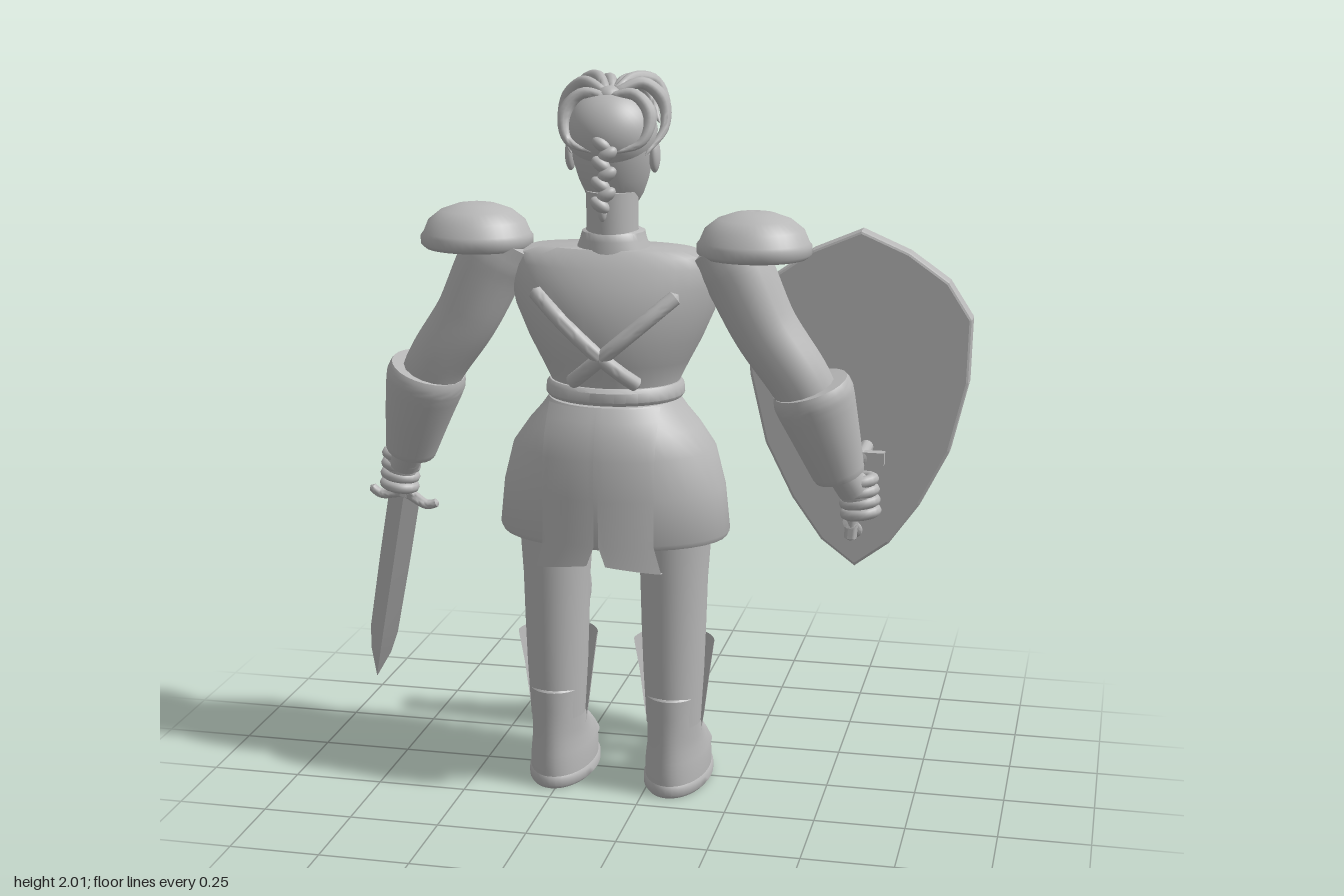
import * as THREE from 'three';
import { mergeVertices, toCreasedNormals } from 'three/addons/utils/BufferGeometryUtils.js';

const V = (x, y, z) => new THREE.Vector3(x, y, z);
const CX = -0.095; // body centre line
const BZ = 0.088;  // body centre depth

export function createModel() {
  const model = new THREE.Group();
  const grey = new THREE.MeshStandardMaterial({ color: 0xb8b8b8, side: THREE.DoubleSide });
  grey.name = 'plain grey';

  const add = (name, geo, parent = model) => {
    const m = new THREE.Mesh(geo, grey);
    m.name = name;
    parent.add(m);
    return m;
  };
  const group = (name, x = 0, y = 0, z = 0) => {
    const g = new THREE.Group();
    g.name = name;
    g.position.set(x, y, z);
    model.add(g);
    return g;
  };
  const ball = (name, p, s, parent) => {
    const m = add(name, new THREE.SphereGeometry(1, 24, 16), parent);
    m.position.set(...p);
    m.scale.set(...s);
    return m;
  };

  // Skin a list of equally long rows of points
  const skin = (rows, crease = 0.7) => {
    const n = rows[0].length, idx = [];
    for (let i = 0; i < rows.length - 1; i++)
      for (let j = 0; j < n - 1; j++) {
        const a = i * n + j, b = a + 1, c = a + n, d = c + 1;
        idx.push(a, b, c, b, d, c);
      }
    const g = new THREE.BufferGeometry().setFromPoints(rows.flat());
    g.setIndex(idx);
    return toCreasedNormals(g, crease);
  };
  // Elliptical rings [y, half width, front z, back z], closed at both ends
  const loft = (rings, { n = 36, start = 0, length = Math.PI * 2, caps = true, crease = 0.7 } = {}) => {
    const rows = rings.map(([y, rx, zf, zb]) => Array.from({ length: n + 1 }, (_, j) => {
      const t = start + length * j / n;
      return V(rx * Math.sin(t), y, (zf + zb) / 2 + (zb - zf) / 2 * Math.cos(t));
    }));
    if (caps) {
      const end = ([y, , zf, zb]) => Array.from({ length: n + 1 }, () => V(0, y, (zf + zb) / 2));
      rows.unshift(end(rings[0]));
      rows.push(end(rings[rings.length - 1]));
    }
    return skin(rows, crease);
  };
  // Tube along points with radius stops [t, r], closed at the ends
  const limb = (pts, stops, segs = 28, sides = 16) => {
    const curve = new THREE.CatmullRomCurve3(pts.map(p => V(...p)));
    const g = new THREE.TubeGeometry(curve, segs, 1, sides);
    const pos = g.attributes.position, p = V(0, 0, 0);
    for (let i = 0; i <= segs; i++) {
      const t = i / segs, c = curve.getPointAt(t);
      const k = Math.max(1, stops.findIndex(s => s[0] >= t - 1e-6));
      const [t0, r0] = stops[k - 1], [t1, r1] = stops[k];
      const r = i === 0 || i === segs ? 0.0001 : THREE.MathUtils.mapLinear(t, t0, t1, r0, r1);
      for (let j = 0; j <= sides; j++) {
        const q = i * (sides + 1) + j;
        p.fromBufferAttribute(pos, q).sub(c).multiplyScalar(r).add(c);
        pos.setXYZ(q, p.x, p.y, p.z);
      }
    }
    g.deleteAttribute('uv');
    g.deleteAttribute('normal');
    return toCreasedNormals(mergeVertices(g, 1e-5), 0.8);
  };

  // Cuirass, belt and collar
  const torso = group('torso', CX);
  const chest = [[1.12, .17, -.06, .21], [1.18, .178, -.075, .22], [1.24, .208, -.093, .238], [1.3, .24, -.105, .25],
    [1.38, .275, -.11, .25], [1.45, .292, -.092, .235], [1.5, .295, -.055, .212], [1.53, .28, -.02, .195], [1.548, .22, .0, .18]];
  add('cuirass', loft(chest), torso);
  add('belt', loft([[1.135, .185, -.085, .235], [1.145, .192, -.092, .242], [1.17, .19, -.09, .24], [1.18, .182, -.08, .23]]), torso);
  add('collar', loft([[1.52, .11, -.01, .19], [1.57, .09, .0, .185], [1.59, .085, .0, .18], [1.595, .075, .01, .175]]), torso);
  add('neck', loft([[1.55, .072, .03, .18], [1.61, .07, .03, .18], [1.7, .07, .03, .18]]), torso);
  const backZ = (x, y) => {
    const k = chest.findIndex(r => r[0] >= y), a = chest[k - 1], b = chest[k], t = (y - a[0]) / (b[0] - a[0]);
    const [rx, zf, zb] = [1, 2, 3].map(i => a[i] + (b[i] - a[i]) * t);
    return (zf + zb) / 2 + (zb - zf) / 2 * Math.sqrt(Math.max(0, 1 - (x / rx) ** 2));
  };
  for (const s of [-1, 1]) {
    const pts = Array.from({ length: 9 }, (_, i) => {
      const x = s * (0.2 - 0.297 * i / 8), y = 1.44 - 0.255 * i / 8;
      return [x, y, backZ(x, y) + 0.001];
    });
    add('backStrap', limb(pts, [[0, .021], [1, .021]]), torso);
    ball('shoulderStud', [s * .17, 1.505, -.03], [.022, .022, .022], torso);
    ball('shoulderStud', [s * .25, 1.5, .0], [.022, .022, .022], torso);
  }

  // Skirt with two hanging panels front and back
  const skirt = group('skirt', CX, 0, BZ);
  const bell = [[.75, .315, .208], [.765, .323, .215], [.89, .31, .217], [1.0, .282, .215], [1.06, .24, .203], [1.1, .205, .188], [1.135, .18, .168]];
  add('skirtBell', loft(bell.map(([y, rx, rz]) => [y, rx, -rz, rz])), skirt);
  for (const s of [-1, 1]) for (const f of [-1, 1]) {
    const rows = [[.69, .325, .218], ...bell.slice(1)].map(([y, rx, rz], k) => Array.from({ length: 11 }, (_, j) => {
      const x = (k === 0 ? .022 : .006) + .148 * j / 10 + (k === 0 ? .004 : 0);
      return V(s * x, y + (k === 0 ? .02 * (1 - j / 10) : 0), f * (.012 + rz * Math.sqrt(1 - (x / (rx + .02)) ** 2)));
    }));
    rows.unshift(rows[0].map(p => V(p.x, p.y, p.z - f * .015)));
    add('skirtPanel', skin(rows), skirt);
  }

  // Legs, knee pads, greaves and boots
  for (const s of [-1, 1]) {
    const leg = group(s > 0 ? 'leftLeg' : 'rightLeg', CX + s * .168);
    add('leg', loft([[.2, .076, .0, .18], [.35, .085, -.005, .183], [.48, .09, -.005, .184], [.62, .094, -.01, .186], [.82, .108, -.02, .19]]), leg);
    ball('kneePad', [0, .55, .0], [.078, .112, .042], leg);
    add('greave', loft([[.16, .075, -.005, .16], [.22, .085, -.012, .18], [.34, .1, -.028, .2], [.42, .112, -.03, .22], [.435, .114, -.03, .22]],
      { start: Math.PI - 1.55, length: 3.1, caps: false }), leg);
    add('boot', loft([[.035, .09, -.155, .192], [.07, .09, -.155, .192], [.1, .086, -.135, .19], [.13, .08, -.1, .188], [.16, .076, -.055, .187],
      [.19, .074, -.015, .186], [.23, .073, .0, .186], [.285, .078, -.005, .188], [.29, .074, .0, .184]]), leg);
    add('sole', loft([[0, .088, -.155, .19], [.008, .095, -.165, .196], [.028, .095, -.165, .196], [.036, .09, -.158, .192]]), leg);
    add('toeFlap', loft([[.085, .082, -.153, .05], [.12, .074, -.118, .06], [.15, .066, -.08, .07], [.185, .05, -.015, .08]]), leg);
  }

  // Arms, pauldrons, gauntlets and hands
  const dome = [[0, .012], [.12, .008], [.142, 0], [.155, .012], [.155, .034], [.148, .042], [.134, .075], [.1, .102], [.055, .118], [.015, .124], [0, .119]];
  for (const s of [-1, 1]) {
    const arm = group(s > 0 ? 'leftArm' : 'rightArm', CX);
    const path = pts => pts.map(([x, y, z]) => [s * x, y, z]);
    add('sleeve', limb(path([[.28, 1.58, .088], [.335, 1.5, .09], [.415, 1.34, .09], [.515, 1.19, .08], [.55, 1.1, .06]]),
      [[0, .09], [.15, .1], [.5, .09], [1, .082]]), arm);
    const pad = add('pauldron', new THREE.LatheGeometry(dome.map(p => new THREE.Vector2(...p)), 40), arm);
    pad.position.set(s * .384, 1.53, .088);
    pad.scale.z = .9;
    add('gauntlet', limb(path([[.535, 1.19, .072], [.575, 1.06, .048], [.617, .915, .015]]),
      [[0, .1], [.06, .108], [.14, .112], [.25, .108], [.9, .075], [.96, .072], [1, .06]], 32, 24), arm);
    add('wrist', limb(path([[.61, .95, .015], [.65, .87, -.025]]), [[0, .045], [1, .045]]), arm);
    ball('palm', [s * .658, .865, -.025], [.045, .058, .036], arm);
    for (let i = 0; i < 4; i++) {
      const finger = add('finger', new THREE.TorusGeometry(.034, .017, 10, 20), arm);
      finger.position.set(s * (.66 + .003 * i), .895 - i * .03, -.037);
      finger.rotation.set(Math.PI / 2, s * .15, 0);
      finger.scale.x = 1.15;
    }
    add('thumb', limb(path([[.63, .91, -.02], [.62, .88, -.06], [.645, .86, -.075]]), [[0, .017], [1, .015]], 12, 10), arm);
  }

  // Sword, hanging from the right hand
  const sword = group('sword', -.75, .777, -.038);
  sword.rotation.set(.04, 0, -.188);
  add('blade', loft([[0, .047, -.009, .009], [-.2, .046, -.008, .008], [-.43, .042, -.007, .007], [-.5, .031, -.005, .005], [-.585, .001, -.001, .001]],
    { n: 4, crease: .05 }), sword);
  add('guard', limb([[-.105, .0, 0], [-.07, -.016, 0], [0, .006, 0], [.07, -.016, 0], [.105, .0, 0]], [[0, .012], [.5, .018], [1, .012]]), sword);
  add('grip', limb([[0, -.01, 0], [0, .14, 0]], [[0, .02], [1, .02]]), sword);
  ball('pommel', [0, .14, 0], [.024, .024, .024], sword);

  // Shield with rim, faceted face, boss and rays
  const shield = group('shield', .546, 1.14, 0);
  const half = [[0, .435], [.133, .378], [.244, .3], [.309, .2], [.305, .02], [.258, -.18], [.178, -.34], [.093, -.46], [0, -.53]];
  const outline = [...half, ...half.slice(1, -1).reverse().map(([x, y]) => [-x, y])];
  const inset = k => outline.map(([x, y]) => new THREE.Vector2(x * k, y * k));
  const rimShape = new THREE.Shape(inset(.975));
  rimShape.holes.push(new THREE.Path(inset(.92)));
  add('shieldRim', new THREE.ExtrudeGeometry(rimShape, { depth: .049, bevelThickness: .008, bevelSize: .008, bevelSegments: 2 }), shield).position.z = -.197;
  const ring = (k, z) => [...outline, outline[0]].map(([x, y]) => V(x * k, y * k, z));
  add('shieldFace', skin([ring(0, -.158), ring(.94, -.158), ring(.94, -.207), ring(.45, -.258), ring(0, -.285)], .1), shield);
  ball('boss', [0, 0, -.276], [.098, .098, .05], shield);
  for (let i = 0; i < 10; i++) {
    const ray = new THREE.ConeGeometry(.02, .13, 8).translate(0, .15, 0).rotateX(.2).rotateZ(i * Math.PI / 5);
    add('sunRay', ray, shield).position.z = -.288;
  }
  add('shieldGrip', limb([[.0, -.42, -.035], [.01, -.3, -.035], [.02, -.165, -.035]], [[0, .018], [1, .018]]), shield);
  const bracket = (y0, y1, x) => add('gripBracket', limb([[x, y0, -.02], [x, (y0 + y1) / 2, -.09], [x, y1, -.17]], [[0, .02], [1, .02]]), shield);
  bracket(-.18, -.18, .025);
  bracket(-.36, -.43, 0);
  add('armBar', new THREE.BoxGeometry(.1, .036, .03), shield).position.set(.04, -.18, -.04);

  // Head and face
  const head = group('head', CX);
  add('skull', loft([[1.642, .03, .01, .09], [1.655, .055, -.003, .13], [1.69, .078, -.006, .16], [1.73, .094, -.003, .178], [1.78, .107, .002, .193],
    [1.83, .112, .004, .2], [1.88, .11, .01, .2], [1.925, .092, .03, .185], [1.955, .05, .06, .15]]), head);
  add('nose', limb([[0, 1.83, .012], [0, 1.79, -.012], [0, 1.768, -.02], [0, 1.755, .005]], [[0, .012], [.55, .014], [.8, .019], [1, .012]], 16, 10), head);
  ball('upperLip', [0, 1.718, -.004], [.03, .008, .011], head);
  ball('lowerLip', [0, 1.702, -.004], [.026, .008, .011], head);
  for (const s of [-1, 1]) {
    ball('eye', [s * .042, 1.803, .013], [.021, .01, .012], head);
    ball('brow', [s * .045, 1.832, .014], [.032, .008, .013], head).rotation.z = s * .1;
    ball('ear', [s * .115, 1.795, .1], [.015, .046, .026], head);
  }

  // Hair cap, swept locks, bun and braid
  const cap = add('hairCap', new THREE.SphereGeometry(1, 32, 20, 0, Math.PI * 2, 0, Math.PI * .52), head);
  cap.position.set(0, 1.855, .108);
  cap.scale.set(.123, .117, .116);
  cap.rotation.x = .6;
  const locks = [
    [[.01, 1.96, .12], [.05, 1.995, .05], [.1, 1.975, -.0], [.13, 1.9, .01], [.11, 1.83, .03]],
    [[.01, 1.96, .13], [.08, 1.985, .09], [.13, 1.94, .07], [.14, 1.87, .09], [.1, 1.8, .15]],
    [[.0, 1.95, .15], [.07, 1.96, .15], [.115, 1.91, .16], [.1, 1.84, .19], [.02, 1.81, .21]],
    [[.0, 1.95, .1], [.02, 1.985, .03], [.05, 1.97, -.025], [.085, 1.92, -.02], [.11, 1.87, .015]],
  ];
  for (const s of [-1, 1])
    for (const l of locks)
      add('hairLock', limb(l.map(([x, y, z]) => [s * x, y, z]), [[0, .012], [.45, .019], [1, .004]], 24, 10), head);
  ball('bun', [0, 1.95, .13], [.035, .03, .035], head);
  for (let i = 0; i < 7; i++) {
    const s = i % 2 ? 1 : -1;
    ball('braidTwist', [.006 + s * .008, 1.835 - i * .026, .215 + .004 * i], [.029, .018, .02], head).rotation.z = s * .6;
  }
  ball('braidTip', [.004, 1.66, .236], [.012, .026, .012], head);

  return model;
}
